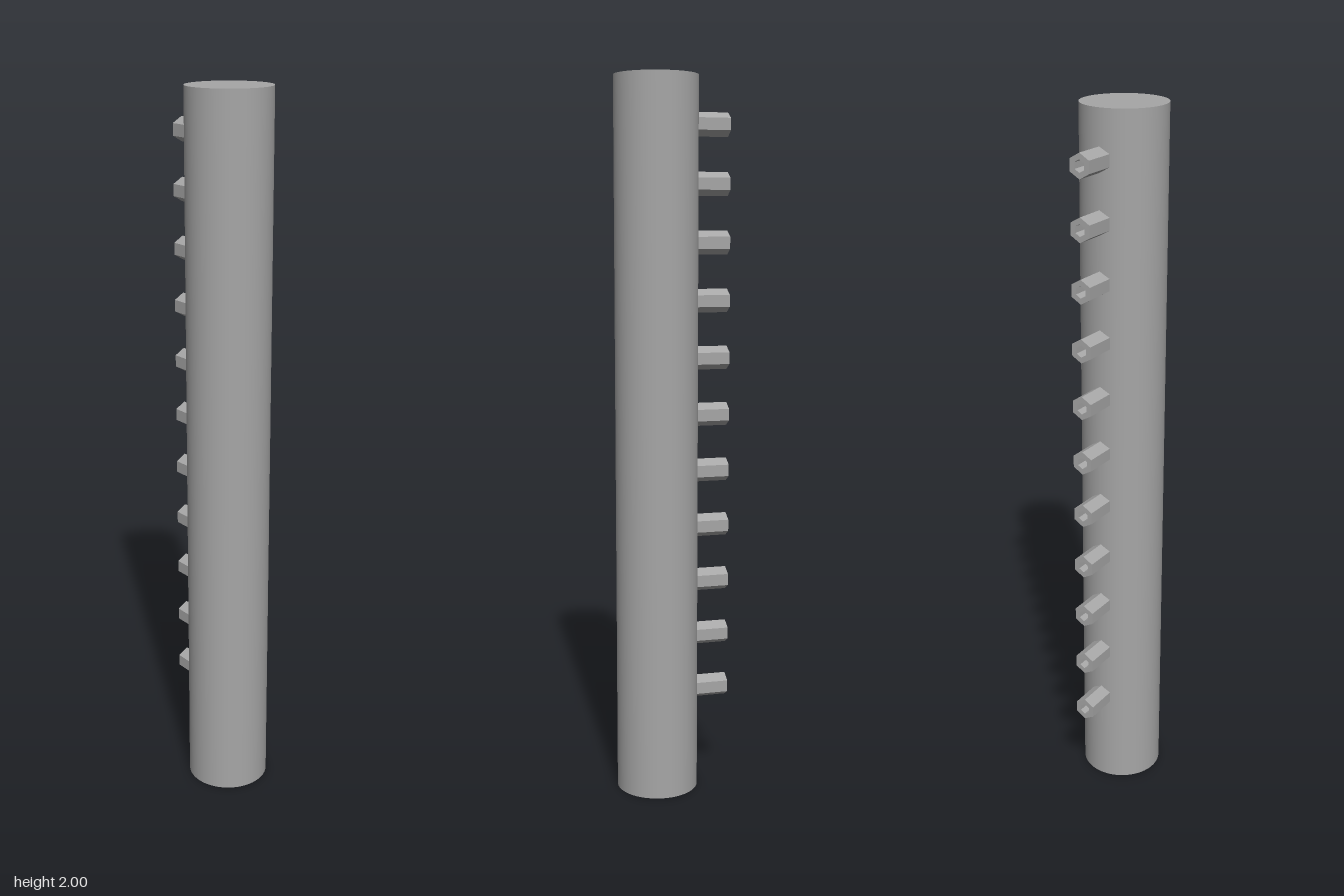
import * as THREE from 'three';
import { mergeGeometries } from 'three/addons/utils/BufferGeometryUtils.js';

const R = 0.115, WALL = 0.008, HEIGHT = 2, AXIS_Z = 0.044;

// Spin each profile segment on its own so the rims stay crisp
function crispLathe(points, segments) {
  const parts = [];
  for (let i = 0; i < points.length - 1; i++) {
    const pair = [points[i], points[i + 1]].map(([x, y]) => new THREE.Vector2(x, y));
    parts.push(new THREE.LatheGeometry(pair, segments));
  }
  return mergeGeometries(parts);
}

// Hexagon with a corner pointing up
function hexagon(radius) {
  return Array.from({ length: 6 }, (_, i) => {
    const a = Math.PI / 2 + (i * Math.PI) / 3;
    return new THREE.Vector2(radius * Math.cos(a), radius * Math.sin(a));
  });
}

export function createModel() {
  const group = new THREE.Group();
  const grey = new THREE.MeshStandardMaterial({ color: 0xa6a6a6 });
  grey.name = 'grey';

  // Tube: closed at the top, open at the bottom
  const r = R - WALL, ceiling = HEIGHT - WALL;
  const tube = new THREE.Mesh(
    crispLathe([[0, ceiling], [r, ceiling], [r, 0], [R, 0], [R, HEIGHT], [0, HEIGHT]], 64), grey);
  tube.name = 'tube';
  tube.position.z = AXIS_Z;
  group.add(tube);

  // Column of hollow hexagonal nozzles, radial and turned 10 degrees off the back
  const section = new THREE.Shape(hexagon(0.0327));
  section.holes.push(new THREE.Path(hexagon(0.0165)));
  const start = 0.108, end = 0.2025;
  const nozzleGeometry = new THREE.ExtrudeGeometry(section, { depth: end - start, bevelEnabled: false });
  nozzleGeometry.translate(0, 0, start);

  const nozzles = new THREE.Group();
  nozzles.name = 'nozzles';
  nozzles.position.z = AXIS_Z;
  nozzles.rotation.y = Math.PI + THREE.MathUtils.degToRad(10);
  for (let i = 0; i < 11; i++) {
    const nozzle = new THREE.Mesh(nozzleGeometry, grey);
    nozzle.name = `nozzle${i + 1}`;
    nozzle.position.y = 0.284 + i * 0.1589;
    nozzles.add(nozzle);
  }
  group.add(nozzles);
  return group;
}
